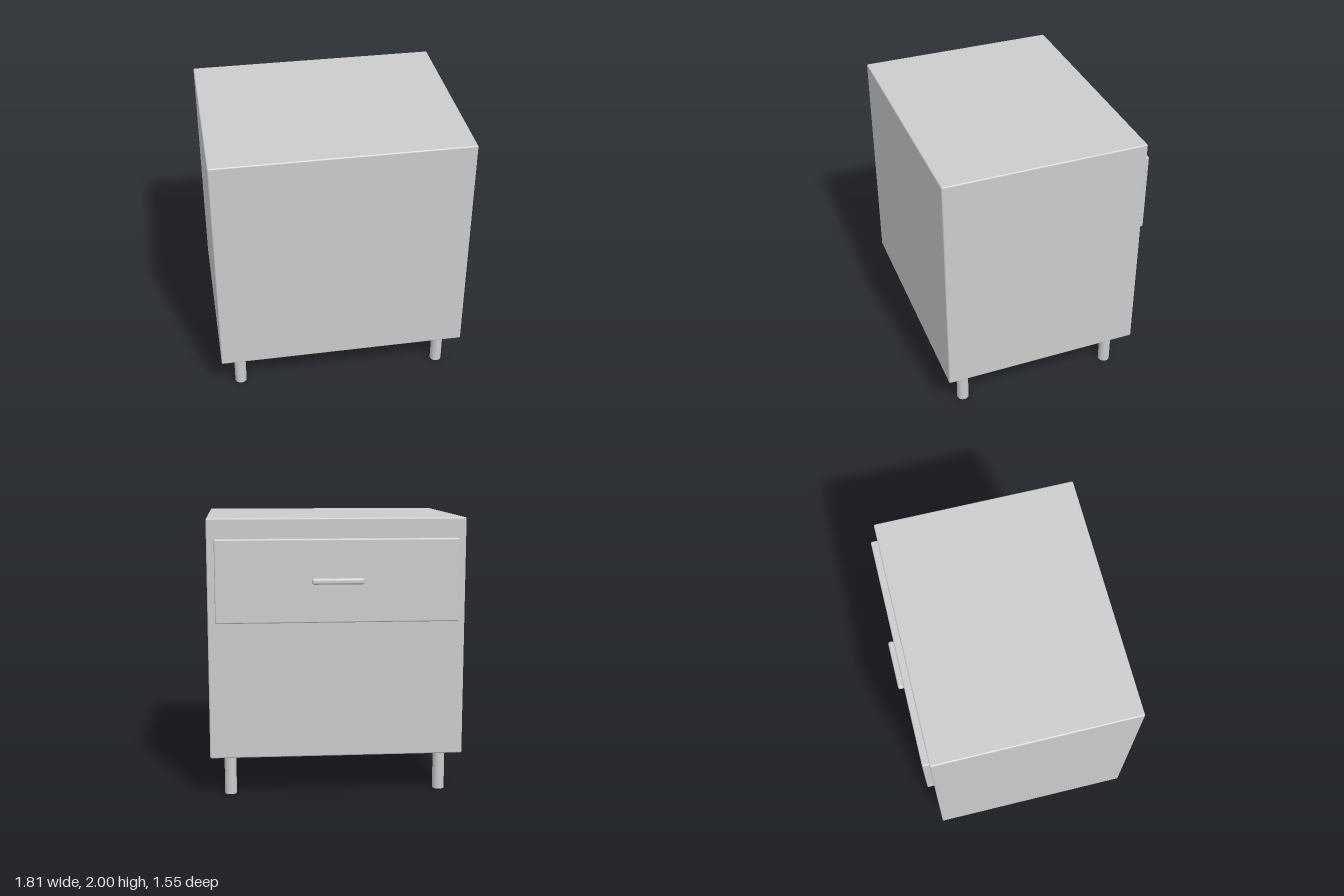
import * as THREE from 'three';
import { RoundedBoxGeometry } from 'three/addons/geometries/RoundedBoxGeometry.js';

export function createModel() {
  const model = new THREE.Group();
  model.name = 'nightstand';
  const material = new THREE.MeshStandardMaterial({ color: 0xcccccc });

  const add = (name, geometry, x, y, z) => {
    const mesh = new THREE.Mesh(geometry, material);
    mesh.name = name;
    mesh.position.set(x, y, z);
    model.add(mesh);
  };

  // Cabinet with softly eased edges
  add('cabinet', new RoundedBoxGeometry(1.814, 1.7, 1.456, 3, 0.01), 0, 1.15, 0.046);

  // Drawer front, slightly sunk into the cabinet face
  add('drawerFront', new RoundedBoxGeometry(1.706, 0.584, 0.07, 3, 0.01), 0, 1.567, -0.696);

  // Slim rounded pull
  add('drawerHandle', new RoundedBoxGeometry(0.365, 0.042, 0.045, 4, 0.015), 0, 1.567, -0.7515);

  // Four round legs
  for (const [end, z] of [['front', 0.63], ['back', -0.537]]) {
    for (const [side, x] of [['Left', 0.765], ['Right', -0.765]]) {
      add(`${end}${side}Leg`, new THREE.CylinderGeometry(0.043, 0.043, 0.31, 32), x, 0.155, z);
    }
  }

  return model;
}
